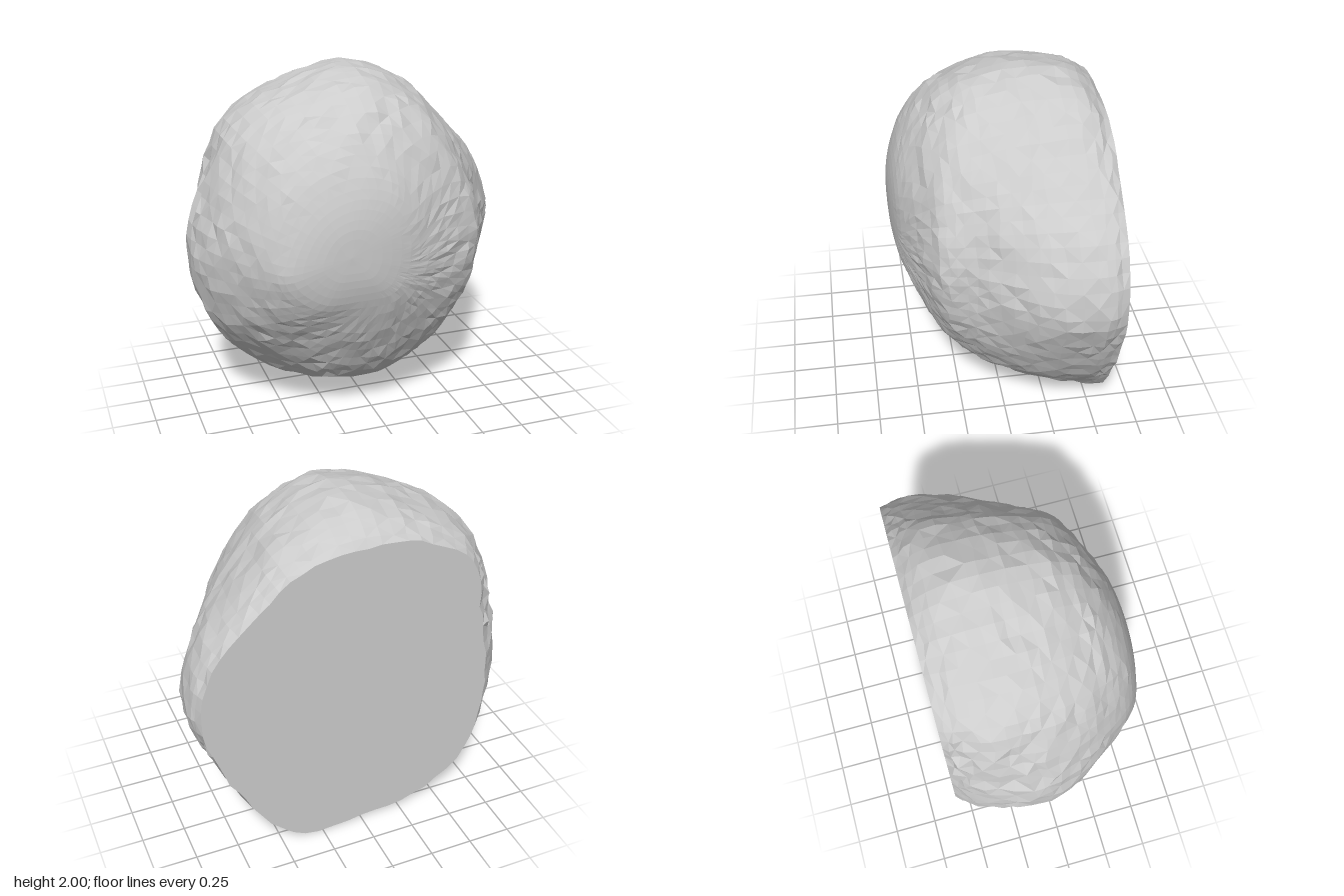
import * as THREE from 'three';

// Outlines of the boulder: depth z, then 16 radii counter-clockwise from +x around (0, 1)
const SLICES = [
  [-0.58, [0.94, 0.9, 0.84, 0.85, 0.84, 0.87, 0.88, 0.76, 0.75, 0.82, 0.95, 0.98, 0.97, 1.05, 0.95, 0.91]],
  [-0.45, [0.97, 0.93, 0.88, 0.93, 0.95, 0.94, 0.95, 0.87, 0.87, 0.93, 0.99, 0.99, 0.96, 1.02, 0.95, 0.92]],
  [-0.2, [0.93, 0.89, 0.86, 0.93, 1.0, 0.98, 1.01, 0.94, 0.97, 0.98, 0.99, 0.97, 0.92, 0.94, 0.91, 0.88]],
  [0, [0.8, 0.8, 0.82, 0.9, 0.98, 0.97, 0.99, 0.94, 0.97, 0.97, 0.94, 0.92, 0.88, 0.87, 0.83, 0.79]],
  [0.2, [0.66, 0.68, 0.74, 0.84, 0.92, 0.91, 0.92, 0.89, 0.88, 0.87, 0.82, 0.82, 0.81, 0.76, 0.71, 0.68]],
  [0.35, [0.61, 0.63, 0.65, 0.72, 0.79, 0.83, 0.83, 0.8, 0.78, 0.74, 0.67, 0.65, 0.63, 0.59, 0.58, 0.59]],
  [0.47, [0.36, 0.39, 0.44, 0.52, 0.61, 0.69, 0.72, 0.7, 0.68, 0.61, 0.48, 0.42, 0.39, 0.36, 0.34, 0.34]],
  [0.55, [0.14, 0.16, 0.21, 0.31, 0.42, 0.5, 0.55, 0.57, 0.58, 0.44, 0.26, 0.2, 0.18, 0.16, 0.14, 0.13]],
];
const AROUND = 72;
const RINGS = 30;
const TIP = new THREE.Vector3(-0.24, 1.12, 0.597);

function seededRandom(seed) {
  return () => {
    seed = (seed * 16807) % 2147483647;
    return seed / 2147483647;
  };
}

// Smooth closed outline of one slice
function outline([z, radii]) {
  const points = radii.map((r, k) => {
    const a = (k / radii.length) * Math.PI * 2;
    return new THREE.Vector3(r * Math.cos(a), 1 + r * Math.sin(a), z);
  });
  const curve = new THREE.CatmullRomCurve3(points, true);
  return Array.from({ length: AROUND }, (_, j) => curve.getPoint(j / AROUND));
}

function meshFrom(name, positions, index, material) {
  const geometry = new THREE.BufferGeometry();
  geometry.setAttribute('position', new THREE.Float32BufferAttribute(positions, 3));
  geometry.setIndex(index);
  geometry.computeVertexNormals();
  const mesh = new THREE.Mesh(geometry, material);
  mesh.name = name;
  return mesh;
}

export function createModel() {
  const group = new THREE.Group();
  group.name = 'boulder';
  const material = new THREE.MeshStandardMaterial({ color: 0xcccccc, flatShading: true });
  const random = seededRandom(71);
  const outlines = SLICES.map(outline);

  // Lines running from the cut back to the blunt front, sampled into rings
  const lines = [];
  for (let j = 0; j < AROUND; j++) {
    const points = outlines.map((ring) => ring[j]);
    const shoulder = points[points.length - 1].clone().lerp(TIP, 0.5).setZ(0.588);
    lines.push(new THREE.CatmullRomCurve3([...points, shoulder, TIP]));
  }

  const skin = [];
  for (let i = 0; i < RINGS; i++) {
    for (let j = 0; j < AROUND; j++) {
      const p = lines[j].getPoint(i / RINGS);
      // Chipped surface, roughest on the upper back of the right side, calm at the front
      const rough = p.x < -0.68 && p.y > 1.05 && p.y < 1.65 && p.z < -0.05;
      const calm = THREE.MathUtils.smoothstep(p.distanceTo(TIP), 0.25, 0.85);
      const amount = (rough ? 0.045 : 0.02) * calm;
      const out = 1 + (random() - 0.5) * amount;
      p.x *= out;
      p.y = 1 + (p.y - 1) * out;
      if (i > 0) p.z += (random() - 0.5) * amount;
      skin.push(p.x, THREE.MathUtils.clamp(p.y, 0, 2), p.z);
    }
  }
  const tip = skin.length / 3;
  skin.push(TIP.x, TIP.y, TIP.z);

  const faces = [];
  for (let i = 0; i < RINGS; i++) {
    for (let j = 0; j < AROUND; j++) {
      const next = (j + 1) % AROUND;
      const a = i * AROUND + j;
      const b = i * AROUND + next;
      if (i === RINGS - 1) faces.push(a, b, tip);
      else if ((i + j) % 2) faces.push(a, b, b + AROUND, a, b + AROUND, a + AROUND);
      else faces.push(a, b, a + AROUND, b, b + AROUND, a + AROUND);
    }
  }
  group.add(meshFrom('rockSurface', skin, faces, material));

  // Flat cut across the back
  const cut = [...skin.slice(0, AROUND * 3), 0, 1, -0.58];
  const fan = [];
  for (let j = 0; j < AROUND; j++) fan.push(AROUND, (j + 1) % AROUND, j);
  group.add(meshFrom('flatBack', cut, fan, material));

  return group;
}
